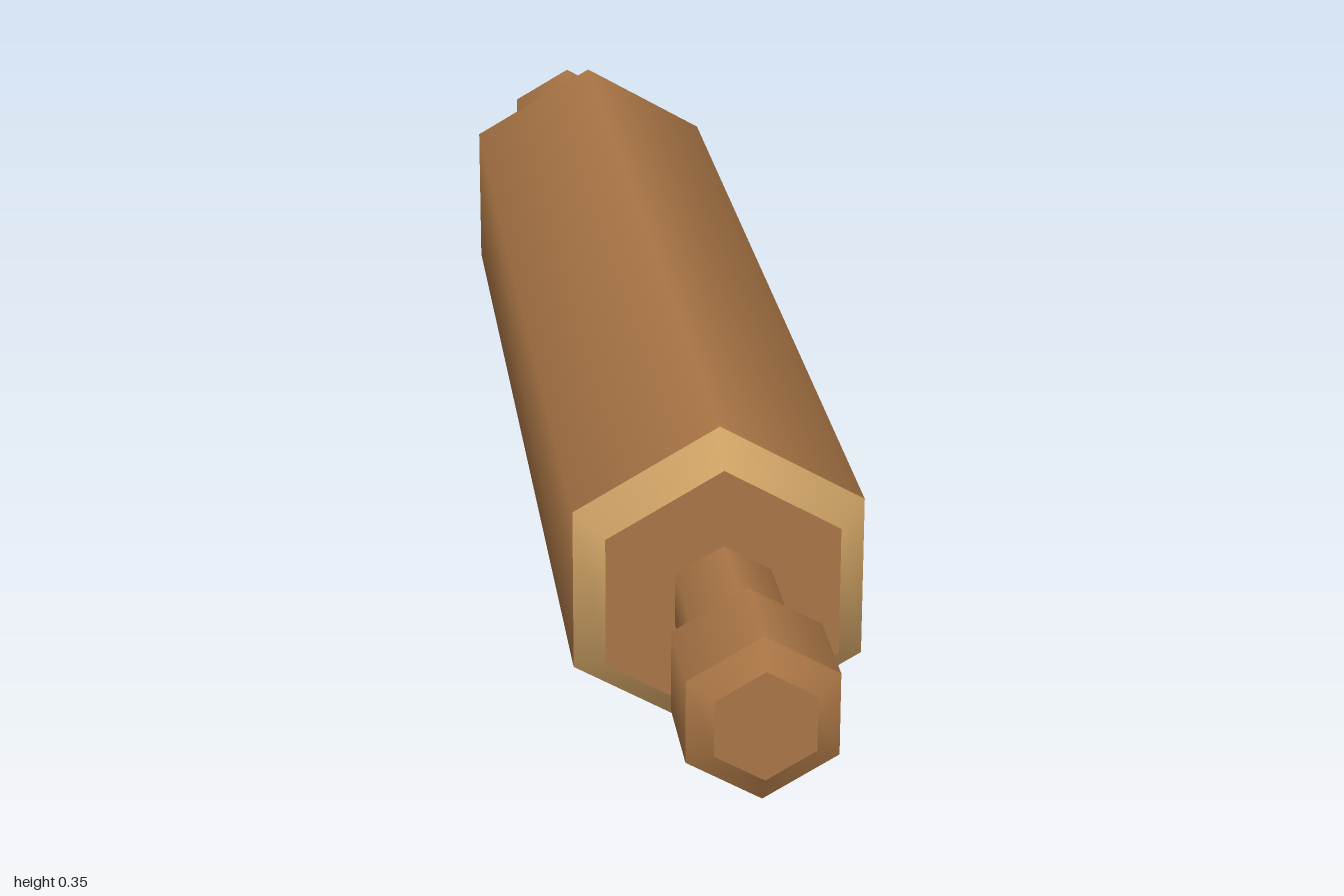
import * as THREE from 'three';

export function createModel() {
  const wood = new THREE.MeshStandardMaterial({ color: 0xa97545 });
  wood.name = 'wood';
  const paleWood = new THREE.MeshStandardMaterial({ color: 0xcb9f63 });
  paleWood.name = 'pale wood';

  const model = new THREE.Group();
  model.name = 'rollingPin';
  const axisY = 0.177;

  // Open six-sided band along z from z0 (radius r0) to z1 (radius r1)
  const band = (parent, name, material, z0, r0, z1, r1) => {
    const geo = new THREE.CylinderGeometry(r1, r0, z1 - z0, 6, 1, true);
    geo.rotateX(Math.PI / 2);
    geo.translate(0, axisY, (z0 + z1) / 2);
    const mesh = new THREE.Mesh(geo, material);
    mesh.name = name;
    parent.add(mesh);
  };

  // Flat hexagonal face looking along +z
  const cap = (parent, name, z, r) => {
    const geo = new THREE.CircleGeometry(r, 6, Math.PI / 2);
    geo.translate(0, axisY, z);
    const mesh = new THREE.Mesh(geo, wood);
    mesh.name = name;
    parent.add(mesh);
  };

  // Roller barrel
  band(model, 'barrel', wood, -0.668, 0.177, 0.668, 0.177);

  // Chamfered barrel end and handle, the same at both ends
  for (const [name, turn] of [['frontEnd', 0], ['backEnd', Math.PI]]) {
    const end = new THREE.Group();
    end.name = name;
    end.rotation.y = turn;
    band(end, 'barrelChamfer', paleWood, 0.668, 0.177, 0.703, 0.142);
    cap(end, 'barrelFace', 0.703, 0.142);
    band(end, 'handleNeck', wood, 0.703, 0.058, 0.845, 0.058);
    band(end, 'knobShoulder', wood, 0.845, 0.058, 0.87, 0.087);
    band(end, 'knob', wood, 0.87, 0.087, 0.982, 0.087);
    band(end, 'knobChamfer', wood, 0.982, 0.087, 1, 0.058);
    cap(end, 'knobFace', 1, 0.058);
    model.add(end);
  }
  return model;
}
